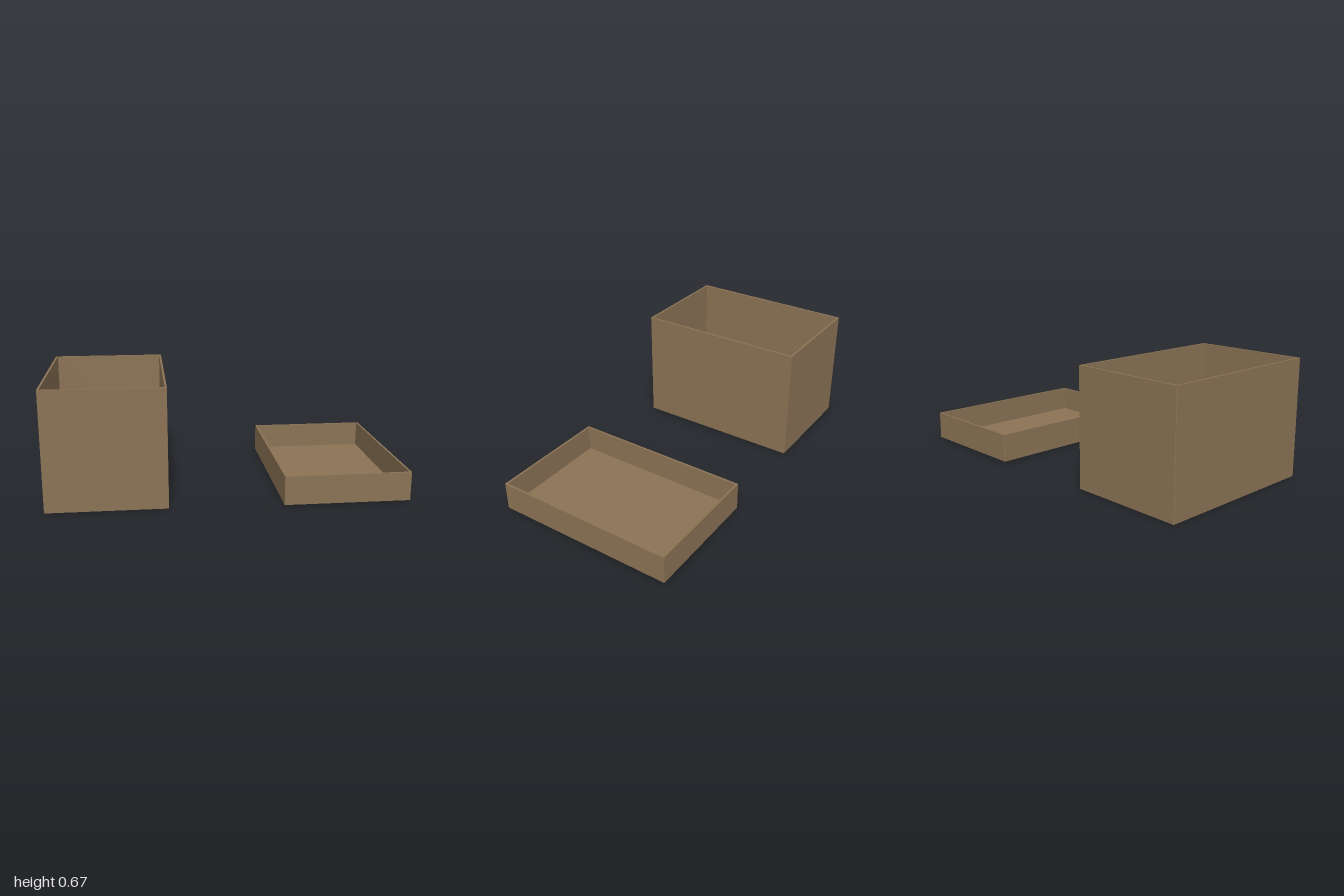
import * as THREE from 'three';

const WALL = 0.012;

// Rectangle outline with slightly rounded corners
function roundedRect(path, w, d, r) {
  const x = w / 2, y = d / 2;
  path.moveTo(-x + r, -y);
  path.lineTo(x - r, -y);
  path.quadraticCurveTo(x, -y, x, -y + r);
  path.lineTo(x, y - r);
  path.quadraticCurveTo(x, y, x - r, y);
  path.lineTo(-x + r, y);
  path.quadraticCurveTo(-x, y, -x, y - r);
  path.lineTo(-x, -y + r);
  path.quadraticCurveTo(-x, -y, -x + r, -y);
  return path;
}

// Open tray: a ring of walls around a thin floor panel
function createTray(name, width, height, depth, material) {
  const tray = new THREE.Group();
  tray.name = name;

  const outline = roundedRect(new THREE.Shape(), width, depth, 0.004);
  outline.holes.push(roundedRect(new THREE.Path(), width - 2 * WALL, depth - 2 * WALL, 0.002));
  const wallGeometry = new THREE.ExtrudeGeometry(outline, {
    depth: height, bevelEnabled: false, curveSegments: 3,
  });
  wallGeometry.rotateX(-Math.PI / 2);
  const walls = new THREE.Mesh(wallGeometry, material);
  walls.name = name + 'Walls';

  const floor = new THREE.Mesh(
    new THREE.BoxGeometry(width - 2 * WALL, WALL, depth - 2 * WALL), material);
  floor.position.y = WALL / 2;
  floor.name = name + 'Floor';

  tray.add(walls, floor);
  return tray;
}

export function createModel() {
  const cardboard = new THREE.MeshStandardMaterial({ color: 0x8b7355 });
  cardboard.name = 'cardboard brown';

  const model = new THREE.Group();
  model.name = 'boxWithLid';

  // Tall open box
  const box = createTray('box', 0.665, 0.67, 1.0, cardboard);
  box.position.x = -0.6675;

  // Shallow lid lying upside down beside it
  const lid = createTray('lid', 0.708, 0.163, 1.065, cardboard);
  lid.position.set(0.646, 0.006, 0);

  model.add(box, lid);
  return model;
}
